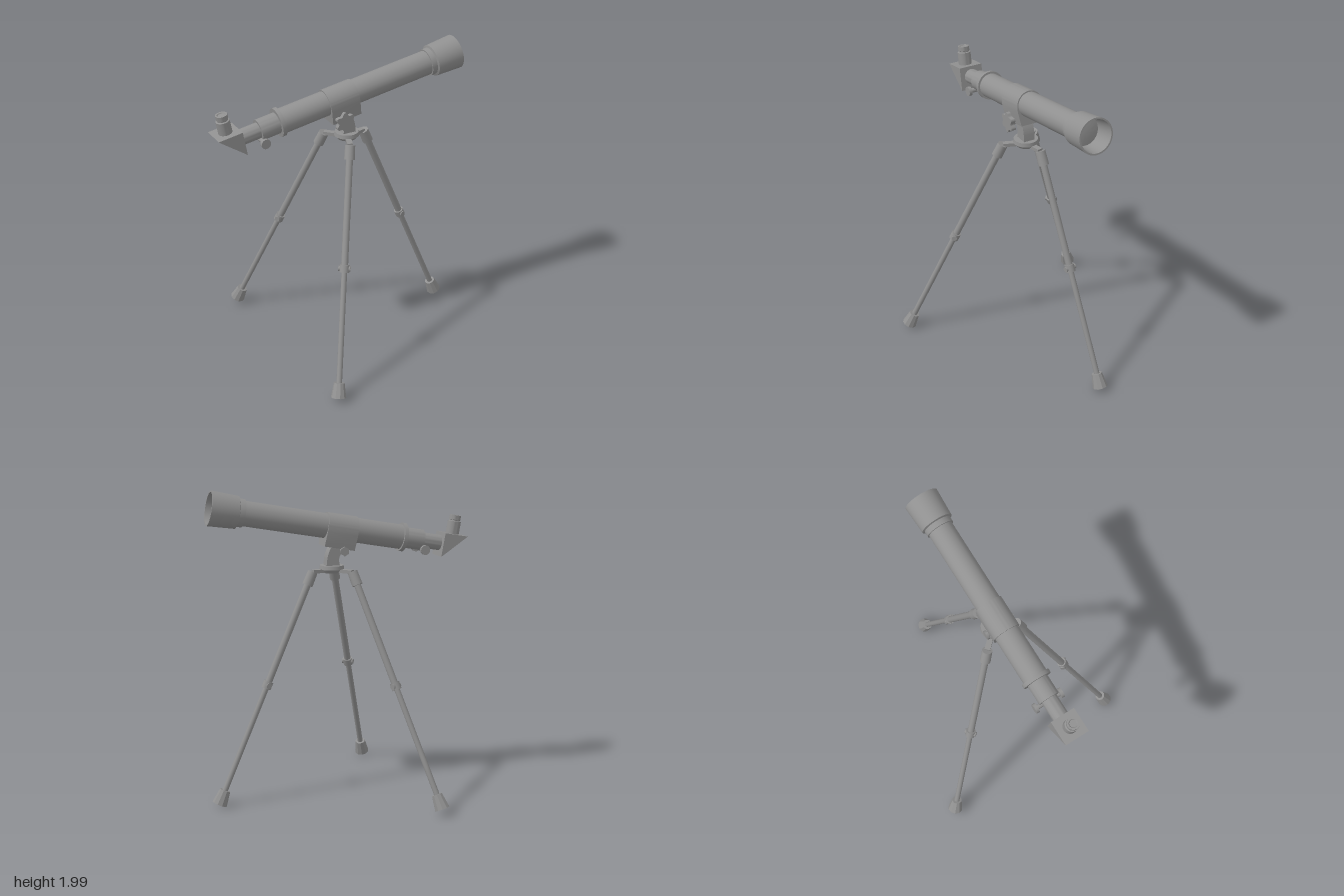
import * as THREE from 'three';
import { toCreasedNormals } from 'three/addons/utils/BufferGeometryUtils.js';

const grey = new THREE.MeshStandardMaterial({ color: 0x909090 });

function add(parent, name, geometry, x = 0, y = 0, z = 0) {
  const mesh = new THREE.Mesh(geometry, grey);
  mesh.name = name;
  mesh.position.set(x, y, z);
  parent.add(mesh);
  return mesh;
}

function cyl(rTop, rBottom, height, sides = 24) {
  return new THREE.CylinderGeometry(rTop, rBottom, height, sides);
}

// Turned part from [radius, height] pairs
function turned(profile, sides = 40) {
  const points = profile.map(([r, y]) => new THREE.Vector2(r, y));
  return toCreasedNormals(new THREE.LatheGeometry(points, sides), 0.6);
}

// Flat shape extruded along z, centred on z = 0
function slab(shape, depth) {
  const geo = new THREE.ExtrudeGeometry(shape, { depth, bevelEnabled: false, curveSegments: 20 });
  geo.translate(0, 0, -depth / 2);
  return toCreasedNormals(geo, 0.6);
}

function polygon(points) {
  return new THREE.Shape(points.map(([x, y]) => new THREE.Vector2(x, y)));
}

// Optical tube lying along local x, y is across it
function createScope() {
  const scope = new THREE.Group();
  scope.name = 'scope';

  // Draw tube, flange, main tube and hollow dew shield with the recessed lens
  const tube = add(scope, 'opticalTube', turned([
    [0, -0.72], [0.05, -0.72], [0.05, -0.58], [0.067, -0.58], [0.067, -0.455],
    [0.092, -0.455], [0.092, -0.43], [0.079, -0.43], [0.079, 0.615],
    [0.088, 0.615], [0.088, 0.65], [0.102, 0.655], [0.11, 0.832],
    [0.1, 0.832], [0.088, 0.71], [0.05, 0.717], [0, 0.72]
  ]));
  tube.rotation.z = -Math.PI / 2;

  // Saddle: rounded over the tube, flat underneath
  const saddle = new THREE.Shape();
  saddle.moveTo(-0.07, -0.126);
  saddle.lineTo(0.07, -0.126);
  saddle.lineTo(0.087, -0.03);
  saddle.lineTo(0.087, 0);
  saddle.absarc(0, 0, 0.087, 0, Math.PI, false);
  saddle.lineTo(-0.087, -0.03);
  saddle.closePath();
  add(scope, 'saddle', slab(saddle, 0.2), -0.02).rotation.y = Math.PI / 2;

  // Diagonal prism and eyepiece
  add(scope, 'diagonalPrism', slab(polygon([[-0.705, 0.07], [-0.863, 0.07], [-0.705, -0.085]]), 0.16));
  add(scope, 'eyepiece', turned([
    [0, 0.06], [0.043, 0.06], [0.043, 0.152], [0.034, 0.155], [0.034, 0.16],
    [0.037, 0.162], [0.037, 0.192], [0.026, 0.192], [0.022, 0.186], [0, 0.186]
  ], 28), -0.784);

  // Focuser axle with a knob at each end
  const focuser = new THREE.Group();
  focuser.name = 'focuser';
  focuser.position.set(-0.583, -0.055, 0);
  focuser.rotation.x = Math.PI / 2;
  add(focuser, 'focusAxle', cyl(0.015, 0.015, 0.18, 16));
  for (const side of [-1, 1]) add(focuser, 'focusKnob', cyl(0.031, 0.031, 0.02), 0, side * 0.088);
  scope.add(focuser);

  scope.position.set(0.006, 1.744, -0.012);
  scope.rotation.z = THREE.MathUtils.degToRad(10);
  return scope;
}

// Neck, tilt clamp and hub plate
function createMount() {
  const mount = new THREE.Group();
  mount.name = 'mount';
  const neck = new THREE.Shape();
  neck.moveTo(-0.005, 1.5);
  neck.lineTo(0.085, 1.5);
  neck.lineTo(0.08, 1.55);
  neck.quadraticCurveTo(0.07, 1.61, 0.03, 1.65);
  neck.lineTo(-0.05, 1.65);
  neck.quadraticCurveTo(-0.06, 1.6, -0.02, 1.585);
  neck.quadraticCurveTo(0.015, 1.56, -0.005, 1.5);
  add(mount, 'neck', slab(neck, 0.075), 0, 0, -0.01);

  // Star-shaped tilt knob
  const star = [];
  for (let i = 0; i < 72; i++) {
    const a = (i / 72) * Math.PI * 2;
    const r = 0.057 + 0.01 * Math.cos(6 * (a - 0.6));
    star.push([r * Math.cos(a), r * Math.sin(a)]);
  }
  add(mount, 'tiltKnob', slab(polygon(star), 0.03), -0.02, 1.613, 0.077);
  add(mount, 'tiltBolt', cyl(0.018, 0.018, 0.17, 16), -0.02, 1.605, -0.005).rotation.x = Math.PI / 2;
  add(mount, 'tiltNut', cyl(0.03, 0.03, 0.016, 6), -0.02, 1.6, -0.095).rotation.x = Math.PI / 2;

  add(mount, 'hubPlate', cyl(0.076, 0.08, 0.025, 32), 0.04, 1.493, -0.01);
  add(mount, 'hubBase', cyl(0.075, 0.06, 0.022, 32), 0.04, 1.47, -0.01);
  return mount;
}

// One leg, modelled along local y from foot (0) to top, pins across local z
function createLeg(name, top, foot) {
  const leg = new THREE.Group();
  leg.name = name;
  const up = top.clone().sub(foot);
  const length = up.length();
  up.normalize();
  const side = new THREE.Vector3(up.x, 0, up.z).cross(new THREE.Vector3(0, 1, 0)).normalize();
  const out = up.clone().cross(side);
  leg.quaternion.setFromRotationMatrix(new THREE.Matrix4().makeBasis(out, up, side));
  leg.position.copy(foot);

  // Foot cap is hollow underneath
  const joint = length * 0.515;
  add(leg, 'footCap', turned([
    [0, 0.06], [0.034, 0.06], [0.044, 0], [0.049, 0], [0.034, 0.095], [0, 0.095]
  ], 10));
  add(leg, 'lowerTube', cyl(0.018, 0.018, joint - 0.08, 16), 0, (joint + 0.08) / 2);
  add(leg, 'upperTube', cyl(0.022, 0.022, length - joint - 0.02, 16), 0, (length + joint - 0.02) / 2);
  add(leg, 'jointCollar', cyl(0.031, 0.031, 0.048, 16), 0, joint);
  add(leg, 'jointPin', cyl(0.017, 0.017, 0.076, 12), 0, joint).rotation.x = Math.PI / 2;
  add(leg, 'socket', cyl(0.032, 0.034, 0.09, 20), 0, length - 0.045);
  return leg;
}

export function createModel() {
  const model = new THREE.Group();
  model.name = 'tripodTelescope';
  model.add(createScope(), createMount());

  const legs = [
    ['leftLeg', [0.173, 1.47, -0.036], [0.817, 0.022, -0.121]],
    ['frontLeg', [-0.01, 1.474, 0.126], [-0.386, 0.03, 0.668]],
    ['backLeg', [-0.064, 1.472, -0.119], [-0.482, 0.045, -0.667]]
  ];
  for (const [name, top, foot] of legs) {
    model.add(createLeg(name, new THREE.Vector3(...top), new THREE.Vector3(...foot)));
    // Bracket from the hub to the leg socket
    const dx = top[0] - 0.04, dz = top[2] + 0.01;
    const bracket = add(model, 'legBracket', new THREE.BoxGeometry(Math.hypot(dx, dz), 0.022, 0.035),
      0.04 + dx / 2, 1.472, -0.01 + dz / 2);
    bracket.rotation.y = Math.atan2(-dz, dx);
  }
  return model;
}
